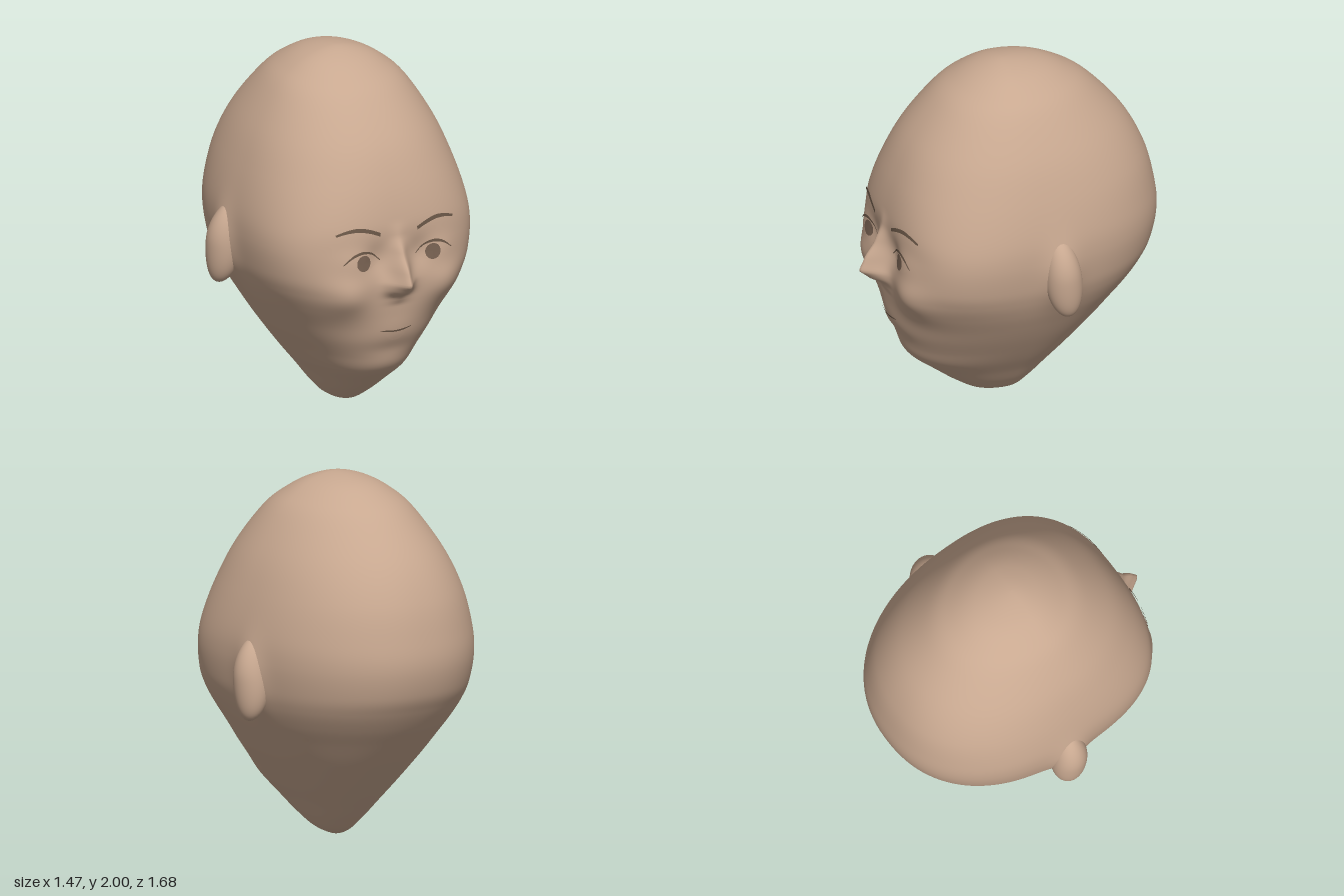
import * as THREE from 'three';

const mat = (name, color, side = THREE.FrontSide) => {
  const m = new THREE.MeshStandardMaterial({ color, side });
  m.name = name;
  return m;
};

// Head sections from chin to crown: y, half width, front z, back z, front and back roundness
const ROWS = [
  [0, 0, 0, 0, 2.1, 2.1],
  [0.025, 0.07, 0.16, -0.075, 2.1, 2.1],
  [0.1, 0.142, 0.29, -0.155, 2.15, 2.1],
  [0.2, 0.217, 0.42, -0.25, 2.2, 2.1],
  [0.3, 0.295, 0.535, -0.343, 2.2, 2.1],
  [0.4, 0.367, 0.595, -0.435, 2.15, 2.1],
  [0.5, 0.435, 0.64, -0.525, 2.2, 2.1],
  [0.6, 0.497, 0.665, -0.61, 2.3, 2.1],
  [0.7, 0.553, 0.685, -0.69, 2.5, 2.15],
  [0.8, 0.597, 0.695, -0.757, 2.8, 2.2],
  [0.9, 0.625, 0.7, -0.808, 3, 2.2],
  [1.05, 0.643, 0.695, -0.838, 3, 2.2],
  [1.2, 0.633, 0.692, -0.825, 2.7, 2.2],
  [1.4, 0.583, 0.642, -0.775, 2.4, 2.2],
  [1.6, 0.505, 0.55, -0.672, 2.2, 2.1],
  [1.8, 0.383, 0.395, -0.5, 2.1, 2],
  [1.9, 0.28, 0.27, -0.365, 2, 2],
  [1.97, 0.155, 0.135, -0.21, 2, 2],
  [2, 0, 0, 0, 2, 2],
];
const LAST = ROWS.length - 1;

// Smooth interpolation, mirrored across both poles so they close roundly
function section(t) {
  const i = Math.min(LAST - 1, Math.floor(t)), u = t - i;
  const flip = (r) => r.map((v, k) => (k > 0 && k < 4 ? -v : v));
  const a = i > 0 ? ROWS[i - 1] : flip(ROWS[1]);
  const d = i + 2 <= LAST ? ROWS[i + 2] : flip(ROWS[LAST - 1]);
  return ROWS[i].map((b, k) => {
    const c = ROWS[i + 1][k];
    return b + 0.5 * u * (c - a[k] + u * (2 * a[k] - 5 * b + 4 * c - d[k] + u * (3 * (b - c) + d[k] - a[k])));
  });
}

const bump = (x, y, cx, cy, rx, ry) => Math.exp(-(((x - cx) / rx) ** 2) - ((y - cy) / ry) ** 2);

// Nose ridge height and half width by y
const NOSE = [[0.72, 0, 0.06], [0.77, 0.02, 0.06], [0.82, 0.095, 0.062], [0.865, 0.142, 0.06],
  [0.93, 0.115, 0.052], [1.03, 0.055, 0.045], [1.12, 0.012, 0.045], [1.2, 0, 0.05]];
function nose(x, y) {
  if (y <= 0.72 || y >= 1.2) return 0;
  const i = NOSE.findIndex((r) => r[0] > y) - 1;
  const [y0, h0, w0] = NOSE[i], [y1, h1, w1] = NOSE[i + 1];
  let u = (y - y0) / (y1 - y0);
  const w = w0 + (w1 - w0) * u;
  u = u * u * (3 - 2 * u) * 0.4 + u * 0.6;
  return (h0 + (h1 - h0) * u) * Math.exp(-((Math.abs(x) / w) ** 1.7));
}

// Forward relief of the face
function relief(x, y) {
  const ax = Math.abs(x);
  return nose(x, y)
    + 0.012 * bump(ax, y, 0.065, 0.84, 0.035, 0.04)  // nostril wings
    - 0.02 * bump(ax, y, 0.13, 1.0, 0.07, 0.08)      // eye sockets
    + 0.045 * bump(ax, y, 0.31, 0.8, 0.13, 0.12)     // cheeks
    + 0.012 * bump(ax, y, 0.28, 1.0, 0.1, 0.08)
    + 0.01 * bump(x, y, 0, 0.57, 0.14, 0.08)         // mouth
    - 0.006 * bump(x, y, 0, 0.45, 0.14, 0.05)        // crease above the chin
    + 0.014 * bump(x, y, 0, 0.34, 0.16, 0.08);       // chin
}

function headMesh(material) {
  const SEG = 220, PER = 9, rows = LAST * PER, pos = [], index = [];
  for (let j = 0; j <= rows; j++) {
    const [y, w, f, b, nf, nb] = section(j / PER);
    for (let i = 0; i < SEG; i++) {
      // denser columns toward the face
      const q = (i / SEG) * Math.PI * 2, a = q - 0.5 * Math.sin(q);
      const s = Math.sin(a), c = Math.cos(a);
      const n = c > 0 ? nf : nb, depth = c > 0 ? f : -b;
      let r = 0;
      if (j > 0 && j < rows) r = (Math.abs(s / w) ** n + Math.abs(c / depth) ** n) ** (-1 / n);
      let x = r * s, z = r * c;
      if (c > 0) z += relief(x, y) * THREE.MathUtils.smoothstep(c, 0.1, 0.6);
      // swelling where the ears grow out
      x += Math.sign(x) * 0.045 * bump(z, y, -0.08, 0.95, 0.1, 0.17) * Math.abs(s);
      pos.push(x, y, z);
      if (j < rows) {
        const k = j * SEG + i, m = j * SEG + ((i + 1) % SEG);
        if (j > 0) index.push(k, m, k + SEG);
        if (j < rows - 1) index.push(m, m + SEG, k + SEG);
      }
    }
  }
  const g = new THREE.BufferGeometry();
  g.setAttribute('position', new THREE.Float32BufferAttribute(pos, 3));
  g.setIndex(index);
  g.computeVertexNormals();
  const m = new THREE.Mesh(g, material);
  m.name = 'head';
  return m;
}

// Front z of the head at x, y
function faceZ(x, y) {
  let lo = 0, hi = LAST;
  for (let i = 0; i < 30; i++) {
    const mid = (lo + hi) / 2;
    if (section(mid)[0] < y) lo = mid; else hi = mid;
  }
  const [, w, f, , n] = section(lo);
  return f * (1 - Math.min(1, Math.abs(x / w)) ** n) ** (1 / n) + relief(x, y);
}

// Lay a flat geometry onto the face
function drape(name, g, lift, material) {
  const p = g.attributes.position;
  for (let i = 0; i < p.count; i++) p.setZ(i, faceZ(p.getX(i), p.getY(i)) + lift);
  g.computeVertexNormals();
  const m = new THREE.Mesh(g, material);
  m.name = name;
  return m;
}

// Flat patch between an upper and a lower curve
function patch(upper, lower, side = 1) {
  const curve = (pts) => new THREE.SplineCurve(pts.map((p) => new THREE.Vector2(...p)));
  const top = curve(upper), bottom = curve(lower);
  const g = new THREE.PlaneGeometry(1, 1, 28, 4), p = g.attributes.position;
  for (let i = 0; i < p.count; i++) {
    const u = p.getX(i) + 0.5, v = p.getY(i) + 0.5;
    const q = bottom.getPoint(u).lerp(top.getPoint(u), v);
    p.setXY(i, q.x * side, q.y);
  }
  return g;
}

export function createModel() {
  const skin = mat('skin', 0xc8a890);
  const skinPlate = mat('skin plate', 0xc8a890, THREE.DoubleSide);
  const hair = mat('brow brown', 0x6b5848, THREE.DoubleSide);
  const irisBrown = mat('iris brown', 0x786252, THREE.DoubleSide);
  const model = new THREE.Group();
  model.name = 'humanHead';
  model.add(headMesh(skin));

  const lidTop = [[0.112, 0.995], [0.16, 1.035], [0.22, 1.047], [0.28, 1.031], [0.325, 1.0]];
  for (const s of [1, -1]) {
    const name = (part) => (s > 0 ? 'left' : 'right') + part;

    // Ear: ellipsoid leaning into the skull at the top, fuller at the lobe
    const g = new THREE.SphereGeometry(1, 40, 32), p = g.attributes.position;
    for (let i = 0; i < p.count; i++) {
      const v = p.getY(i);
      p.setXYZ(i, p.getX(i) * 0.1 + (v > 0 ? -0.045 : 0.025) * v * v,
        v * 0.23, p.getZ(i) * (0.1 - 0.012 * v) + 0.015 * v);
    }
    g.computeVertexNormals();
    const ear = new THREE.Mesh(g, skin);
    ear.name = name('Ear');
    ear.position.set(0.637, 0.955, -0.085);
    const earSide = new THREE.Group();
    earSide.name = name('EarSide');
    earSide.scale.x = s;
    earSide.add(ear);
    model.add(earSide);

    // Eye, lashes and brow
    const eyeball = patch(lidTop, [[0.112, 0.995], [0.15, 0.965], [0.21, 0.946], [0.28, 0.962], [0.325, 1.0]], s);
    const iris = new THREE.CircleGeometry(0.044, 28).translate(s * 0.213, 0.994, 0);
    const lash = patch([[0.108, 0.998], [0.16, 1.046], [0.22, 1.062], [0.28, 1.044], [0.335, 0.997]], lidTop, s);
    const brow = patch(
      [[0.112, 1.154], [0.17, 1.179], [0.235, 1.194], [0.3, 1.186], [0.362, 1.165]],
      [[0.115, 1.134], [0.17, 1.157], [0.235, 1.172], [0.3, 1.169], [0.358, 1.155]], s);
    model.add(
      drape(name('EyeSurface'), eyeball, 0.003, skinPlate),
      drape(name('Iris'), iris, 0.006, irisBrown),
      drape(name('Lashes'), lash, 0.009, hair),
      drape(name('Brow'), brow, 0.008, hair));
  }

  // Mouth line and lower lip
  const mouth = patch(
    [[-0.095, 0.581], [-0.04, 0.576], [0, 0.573], [0.04, 0.576], [0.095, 0.581]],
    [[-0.095, 0.577], [-0.04, 0.566], [0, 0.564], [0.04, 0.566], [0.095, 0.577]]);
  const lip = patch(
    [[-0.062, 0.545], [-0.03, 0.562], [0, 0.566], [0.03, 0.562], [0.062, 0.545]],
    [[-0.062, 0.545], [-0.03, 0.518], [0, 0.51], [0.03, 0.518], [0.062, 0.545]]);
  model.add(drape('mouthLine', mouth, 0.007, hair), drape('lowerLip', lip, 0.005, skinPlate));
  return model;
}
